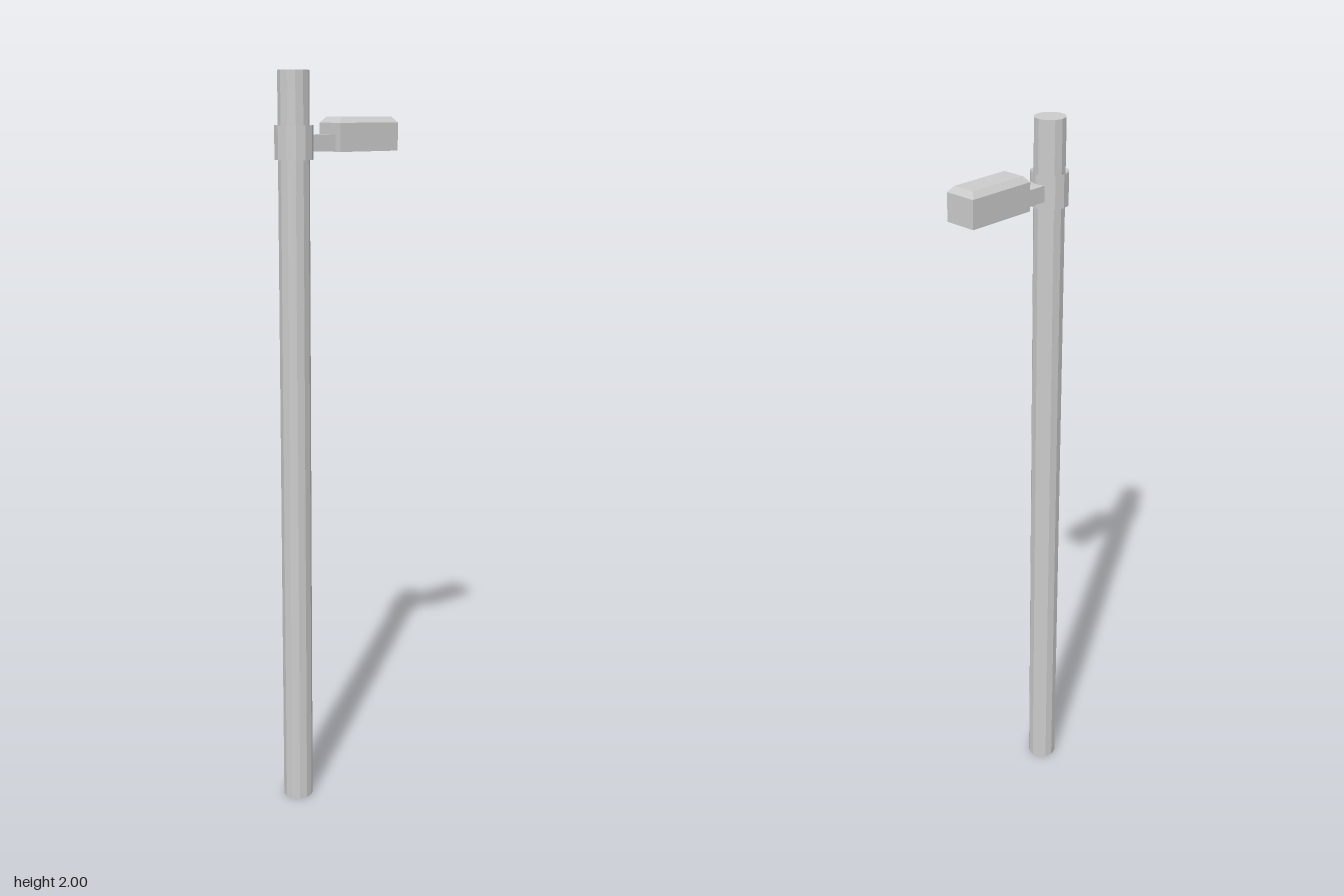
import * as THREE from 'three';

const SIDES = 12;
const POLE_X = -0.13;

// Closed solid lofted through rectangles [y, inset], listed from first to last cap
function loftRects(halfX, halfZ, sections) {
  const pos = [], index = [];
  for (const [y, inset] of sections) {
    const x = halfX - inset, z = halfZ - inset;
    pos.push(x, y, z, x, y, -z, -x, y, -z, -x, y, z);
  }
  const last = (sections.length - 1) * 4;
  for (let r = 0; r < last; r += 4) {
    for (let i = 0; i < 4; i++) {
      const a = r + i, b = r + (i + 1) % 4;
      index.push(a, b, b + 4, a, b + 4, a + 4);
    }
  }
  index.push(0, 2, 1, 0, 3, 2, last, last + 1, last + 2, last, last + 2, last + 3);
  const geo = new THREE.BufferGeometry();
  geo.setAttribute('position', new THREE.Float32BufferAttribute(pos, 3));
  geo.setIndex(index);
  const flat = geo.toNonIndexed();
  flat.computeVertexNormals();
  return flat;
}

export function createModel() {
  const model = new THREE.Group();
  model.name = 'streetLamp';
  const grey = new THREE.MeshStandardMaterial({ color: 0xcccccc, flatShading: true });

  const add = (name, geo, x, y) => {
    const mesh = new THREE.Mesh(geo, grey);
    mesh.name = name;
    mesh.position.set(x, y, 0);
    model.add(mesh);
  };

  // Tall faceted pole
  add('pole', new THREE.CylinderGeometry(0.041, 0.041, 2, SIDES), POLE_X, 1);

  // Clamp ring whose rims dip inward towards the pole
  const ring = [[0.04, -0.034], [0.05, -0.043], [0.05, 0.043], [0.04, 0.034]]
    .map(([r, y]) => new THREE.Vector2(r, y));
  add('collar', new THREE.LatheGeometry(ring, SIDES), POLE_X, 1.822);

  // Short bracket from the collar to the lamp
  add('arm', new THREE.BoxGeometry(0.09, 0.042, 0.048), -0.054, 1.82);

  // Lamp housing: recessed underside, straight walls, chamfered top
  add('lampHead', loftRects(0.097, 0.044, [
    [0.01, 0.011], [0, 0.008], [0, 0], [0.073, 0], [0.088, 0.013],
  ]), 0.083, 1.797);

  return model;
}
